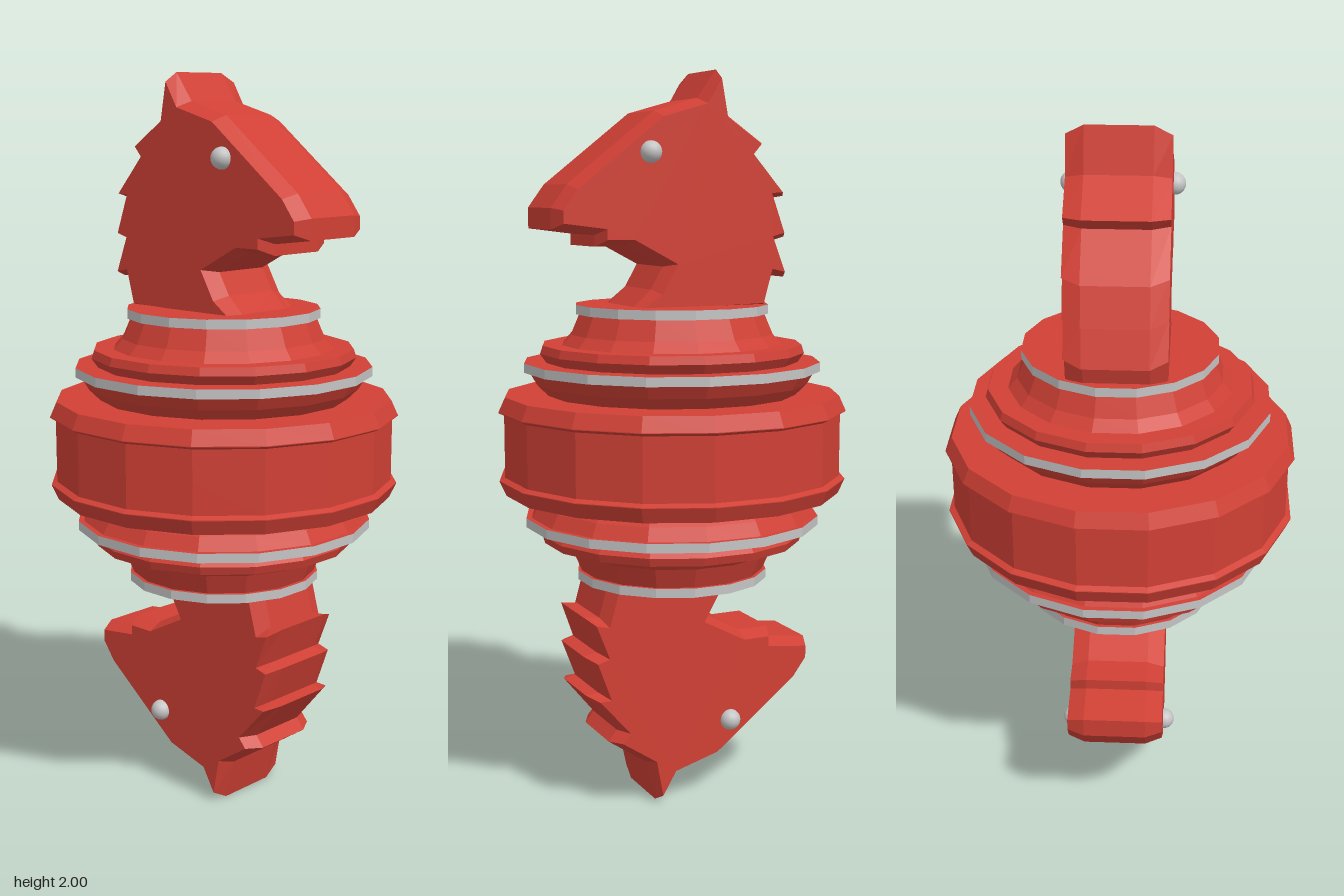
import * as THREE from 'three';

const SIDES = 16;
const red = new THREE.MeshStandardMaterial({ color: 0xd04035 });
red.name = 'red';
const silver = new THREE.MeshStandardMaterial({ color: 0xc4c4c4 });
silver.name = 'silver';

// Faceted mesh: unshared corners give every face its own normal
function facetedMesh(geometry, material, name) {
  const flat = geometry.index ? geometry.toNonIndexed() : geometry;
  flat.computeVertexNormals();
  const mesh = new THREE.Mesh(flat, material);
  mesh.name = name;
  return mesh;
}

// Turned section from [flat-to-flat radius, height] pairs, bottom to top
function turned(profile, material, name) {
  const k = 1 / Math.cos(Math.PI / SIDES);
  const points = profile.map(([r, y]) => new THREE.Vector2(r * k, y));
  return facetedMesh(new THREE.LatheGeometry(points, SIDES, Math.PI / SIDES), material, name);
}

// Horse head outline, heights measured from the middle of the piece
const headOutline = [
  [-0.23, 0.365], [0.165, 0.365], [0.10, 0.425], [0.065, 0.485], // neck and throat
  [0.17, 0.54], [0.26, 0.54], [0.26, 0.57], [0.38, 0.585], // jaw and mouth
  [0.38, 0.64], [0.335, 0.70], [0.09, 0.89], [-0.035, 0.925], // nose and brow
  [-0.09, 1.0], [-0.12, 0.885], // ear
  [-0.23, 0.81], [-0.205, 0.78], [-0.295, 0.67], [-0.26, 0.665], // mane teeth
  [-0.30, 0.56], [-0.265, 0.55], [-0.30, 0.45], [-0.255, 0.455],
];

function createHead() {
  const head = new THREE.Group();
  head.name = 'horseHead';
  const shape = new THREE.Shape(headOutline.map(([x, y]) => new THREE.Vector2(x, y)));
  const geometry = new THREE.ExtrudeGeometry(shape, {
    depth: 0.17, bevelThickness: 0.046, bevelSize: 0.018, bevelOffset: -0.018, bevelSegments: 1,
  });
  geometry.translate(0, 0, -0.085);
  head.add(facetedMesh(geometry, red, 'headAndMane'));

  for (const side of [-1, 1]) {
    const eye = new THREE.Mesh(new THREE.SphereGeometry(0.029, 16, 12), silver);
    eye.name = side > 0 ? 'frontEye' : 'backEye';
    eye.position.set(0.12, 0.783, side * 0.134);
    head.add(eye);
  }
  return head;
}

// Half of the piece: stepped base, two silver bands and a head
function createHalf(name) {
  const half = new THREE.Group();
  half.name = name;
  half.add(
    turned([[0.455, 0], [0.455, 0.085], [0.47, 0.093], [0.47, 0.095], [0.452, 0.135], [0.335, 0.135],
      [0.365, 0.165], [0.385, 0.2], [0.4, 0.2]], red, 'lowerBase'),
    turned([[0.4, 0.2], [0.4, 0.225]], silver, 'wideBand'),
    turned([[0.4, 0.225], [0.34, 0.225], [0.357, 0.25], [0.35, 0.272], [0.297, 0.272],
      [0.273, 0.3], [0.25, 0.355], [0.26, 0.355]], red, 'upperBase'),
    turned([[0.26, 0.355], [0.26, 0.38]], silver, 'narrowBand'),
    turned([[0.26, 0.38], [0, 0.38]], red, 'collarTop'),
    createHead(),
  );
  return half;
}

export function createModel() {
  const model = new THREE.Group();
  model.name = 'doubleKnight';
  const upper = createHalf('upperHalf');
  const lower = createHalf('lowerHalf');
  upper.position.y = lower.position.y = 1;
  lower.rotation.z = Math.PI; // same half turned upside down
  model.add(upper, lower);
  return model;
}
